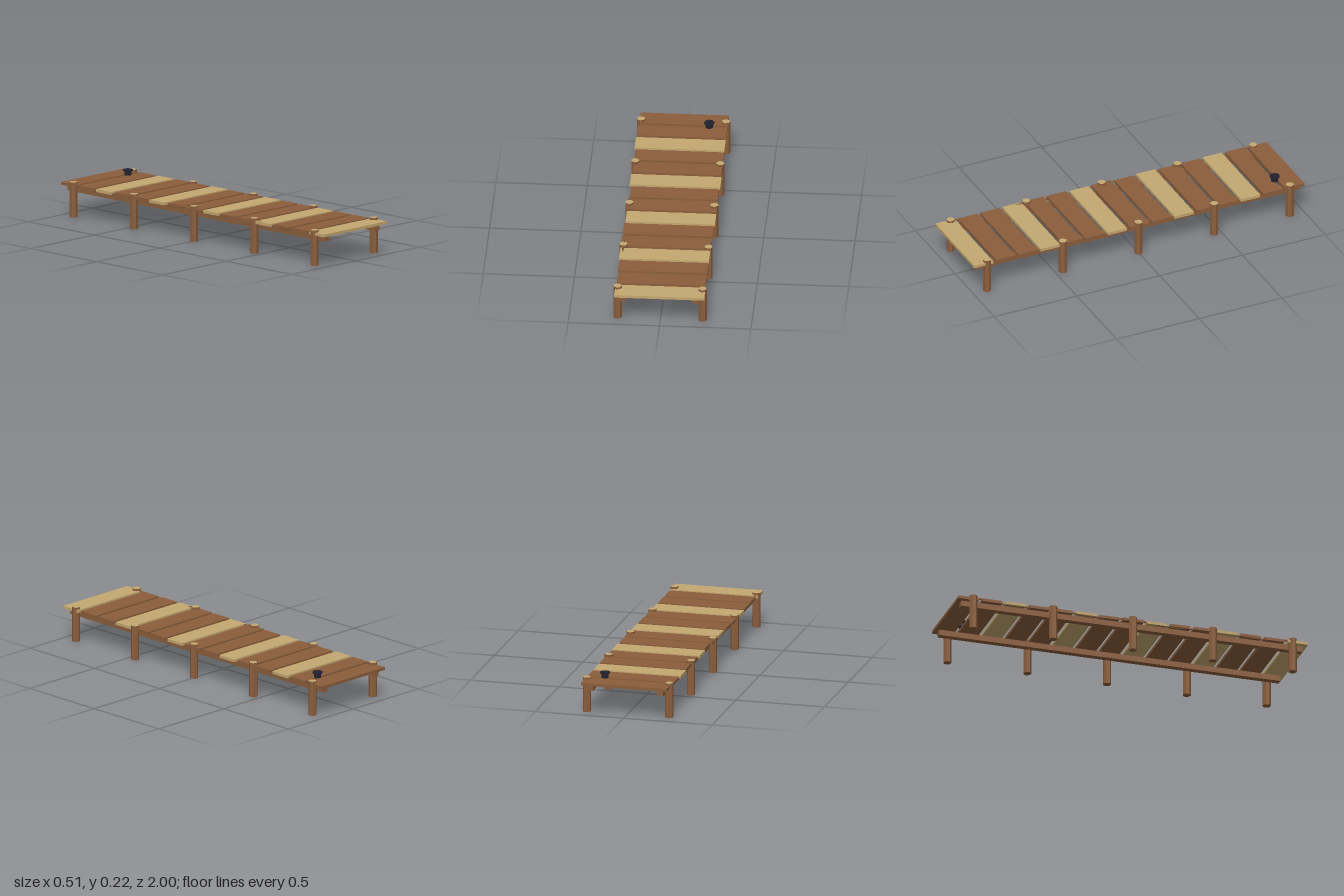
import * as THREE from 'three';

export function createModel() {
  const group = new THREE.Group();
  const material = (name, color) => {
    const m = new THREE.MeshStandardMaterial({ color });
    m.name = name;
    return m;
  };
  const wood = material('brown wood', 0x8b5e3c);
  const paleWood = material('pale wood', 0xc4a870);
  const iron = material('dark iron', 0x222230);

  const add = (name, geometry, mat, x, y, z) => {
    const mesh = new THREE.Mesh(geometry, mat);
    mesh.name = name;
    mesh.position.set(x, y, z);
    group.add(mesh);
    return mesh;
  };
  // Low-poly cylinder with hard facets; keeps side, top and bottom groups
  const faceted = (rTop, rBottom, height, sides, turn) => {
    const indexed = new THREE.CylinderGeometry(rTop, rBottom, height, sides).rotateY(turn);
    const g = indexed.toNonIndexed();
    indexed.groups.forEach(s => g.addGroup(s.start, s.count, s.materialIndex));
    g.computeVertexNormals();
    return g;
  };

  // Deck planks: slightly uneven ends, every third one pale
  const leftEnds = [-0.243, -0.247, -0.25, -0.243, -0.242, -0.248, -0.239, -0.248,
    -0.243, -0.248, -0.25, -0.25, -0.246, -0.243, -0.248];
  const rightEnds = [0.24, 0.24, 0.241, 0.243, 0.243, 0.247, 0.242, 0.247,
    0.246, 0.245, 0.24, 0.242, 0.242, 0.241, 0.245];
  leftEnds.forEach((left, i) => {
    const right = rightEnds[i];
    add('plank', new THREE.BoxGeometry(right - left, 0.016, 0.115),
      i % 3 === 2 ? paleWood : wood, (left + right) / 2, 0.176, -0.9425 + i * 0.13464);
  });

  // Beams under the deck
  for (const x of [-0.2, 0.195]) {
    add('beam', new THREE.BoxGeometry(0.035, 0.032, 1.955), wood, x, 0.152, 0);
  }

  // Posts with pale cut tops
  const postGeometry = faceted(0.023, 0.023, 0.196, 7, -0.245);
  const postZ = [-0.915, -0.457, 0, 0.457, 0.915];
  for (const x of [-0.235, 0.23]) {
    for (const z of postZ) add('post', postGeometry, [wood, paleWood, wood], x, 0.098, z);
  }

  // Rope sagging between the posts on one side
  for (let i = 0; i < postZ.length - 1; i++) {
    const a = postZ[i], b = postZ[i + 1];
    const curve = new THREE.QuadraticBezierCurve3(
      new THREE.Vector3(0, 0.19, a),
      new THREE.Vector3(0, 0.146, (a + b) / 2),
      new THREE.Vector3(0, 0.19, b));
    add('rope', new THREE.TubeGeometry(curve, 10, 0.005, 6), wood, -0.235, 0, 0);
  }

  // Mooring bollard
  add('bollardStem', faceted(0.02, 0.02, 0.026, 8, 0.2), iron, 0.141, 0.196, -0.865);
  add('bollardCap', faceted(0.028, 0.028, 0.008, 8, 0.2), iron, 0.141, 0.212, -0.865);

  return group;
}
